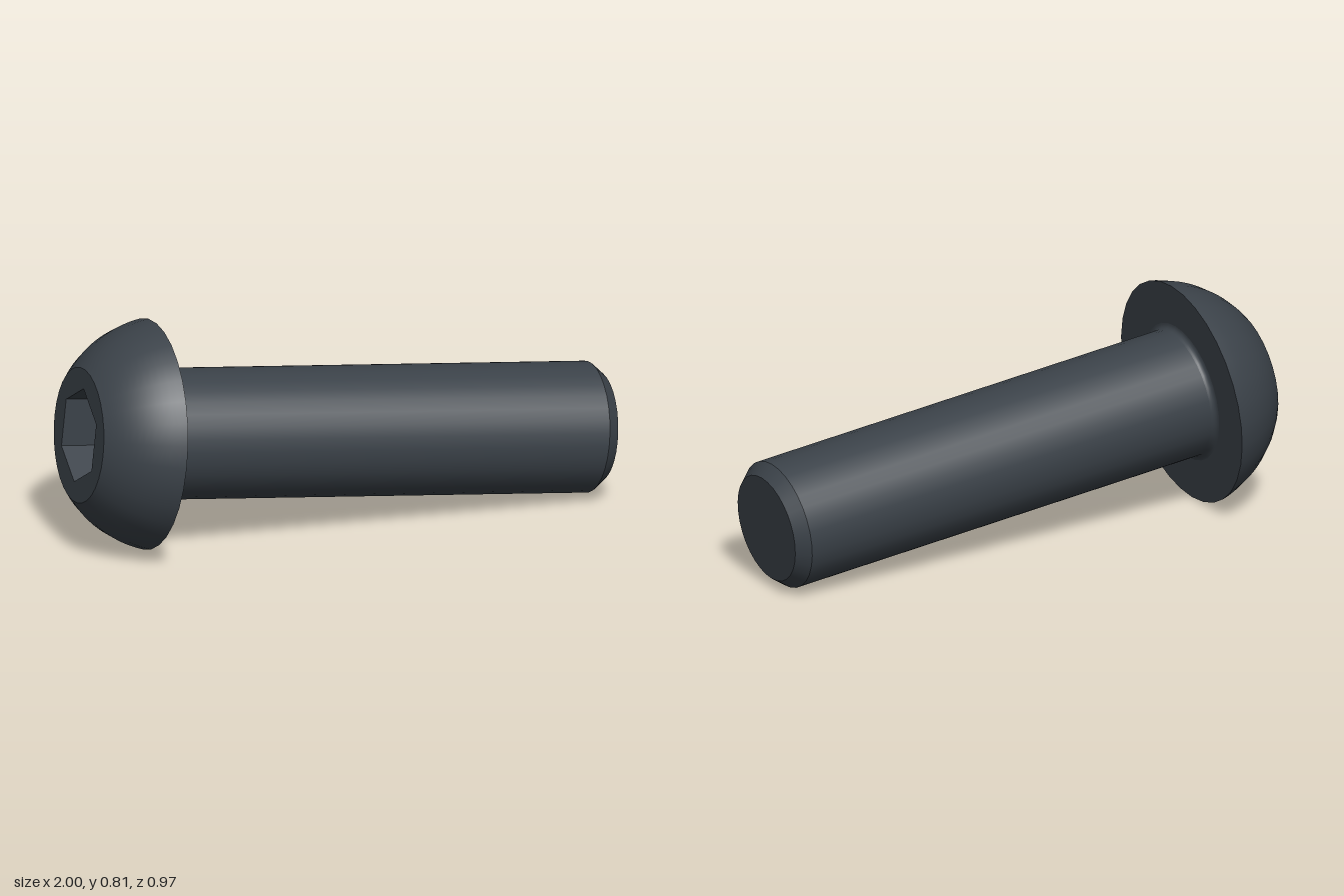
import * as THREE from 'three';

const SIDES = 32;
const RIM = 0.405, FACE = 0.238, SHANK = 0.231, TIP = 0.193;
const LENGTH = 1.70, HEAD = 0.25, CHAMFER = 0.046, FILLET = 0.02;
const HEX = 0.17, HEX_DEPTH = 0.18;

const lathe = (pts, sides = SIDES) =>
  new THREE.LatheGeometry(pts.map(([r, y]) => new THREE.Vector2(r, y)), sides);

export function createModel() {
  const model = new THREE.Group();
  model.name = 'buttonHeadScrew';
  const steel = new THREE.MeshStandardMaterial({ color: 0x3b4249 });
  steel.name = 'darkSteel';

  // Screw axis is local y, with the underside of the head at y = 0
  const screw = new THREE.Group();
  screw.name = 'screw';
  model.add(screw);
  const add = (name, geometry) => {
    const mesh = new THREE.Mesh(geometry, steel);
    mesh.name = name;
    screw.add(mesh);
  };

  // Tip and chamfer
  add('tipFace', lathe([[0, -LENGTH], [TIP, -LENGTH]]));
  add('tipChamfer', lathe([[TIP, -LENGTH], [SHANK, -LENGTH + CHAMFER]]));

  // Shank, flaring into a small fillet under the head
  add('shank', lathe([[SHANK, -LENGTH + CHAMFER], [SHANK, -FILLET]]));
  const fillet = [];
  for (let i = 0; i <= 5; i++) {
    const a = (i / 5) * Math.PI / 2;
    fillet.push([SHANK + FILLET * (1 - Math.cos(a)), -FILLET * (1 - Math.sin(a))]);
  }
  add('fillet', lathe(fillet));

  // Head: flat underside and a dome that is a slice of a sphere
  add('headUnderside', lathe([[SHANK + FILLET, 0], [RIM, 0]]));
  const drop = (RIM ** 2 - FACE ** 2 - HEAD ** 2) / (2 * HEAD);
  const radius = Math.hypot(RIM, drop);
  const a0 = Math.asin(drop / radius), a1 = Math.asin((drop + HEAD) / radius);
  const dome = [];
  for (let i = 0; i <= 12; i++) {
    const a = a0 + (a1 - a0) * i / 12;
    dome.push([radius * Math.cos(a), radius * Math.sin(a) - drop]);
  }
  add('headDome', lathe(dome));

  // Flat head face with a hexagonal opening
  const face = new THREE.Shape();
  face.absarc(0, 0, FACE, 0, Math.PI * 2, false);
  const corners = [];
  for (let i = 0; i < 6; i++) {
    const a = -i * Math.PI / 3;
    corners.push(new THREE.Vector2(HEX * Math.cos(a), HEX * Math.sin(a)));
  }
  face.holes.push(new THREE.Path(corners));
  add('headFace', new THREE.ShapeGeometry(face, SIDES / 2).rotateX(-Math.PI / 2).translate(0, HEAD, 0));

  // Hex socket walls and floor, facing inwards
  const socket = lathe([[HEX, HEAD], [HEX, HEAD - HEX_DEPTH], [0, HEAD - HEX_DEPTH]], 6)
    .rotateY(Math.PI / 2).toNonIndexed();
  socket.computeVertexNormals();
  add('hexSocket', socket);

  // Lay the screw down: tip and rim rest on the ground
  const up = new THREE.Vector3(-1, 0.1065, -0.2145).normalize();
  const side = new THREE.Vector3(0, 1, 0).addScaledVector(up, -up.y).normalize();
  const third = new THREE.Vector3().crossVectors(side, up);
  screw.quaternion.setFromRotationMatrix(new THREE.Matrix4().makeBasis(side, up, third));
  screw.position.set(-0.70, 0.4045, -0.087);
  return model;
}
